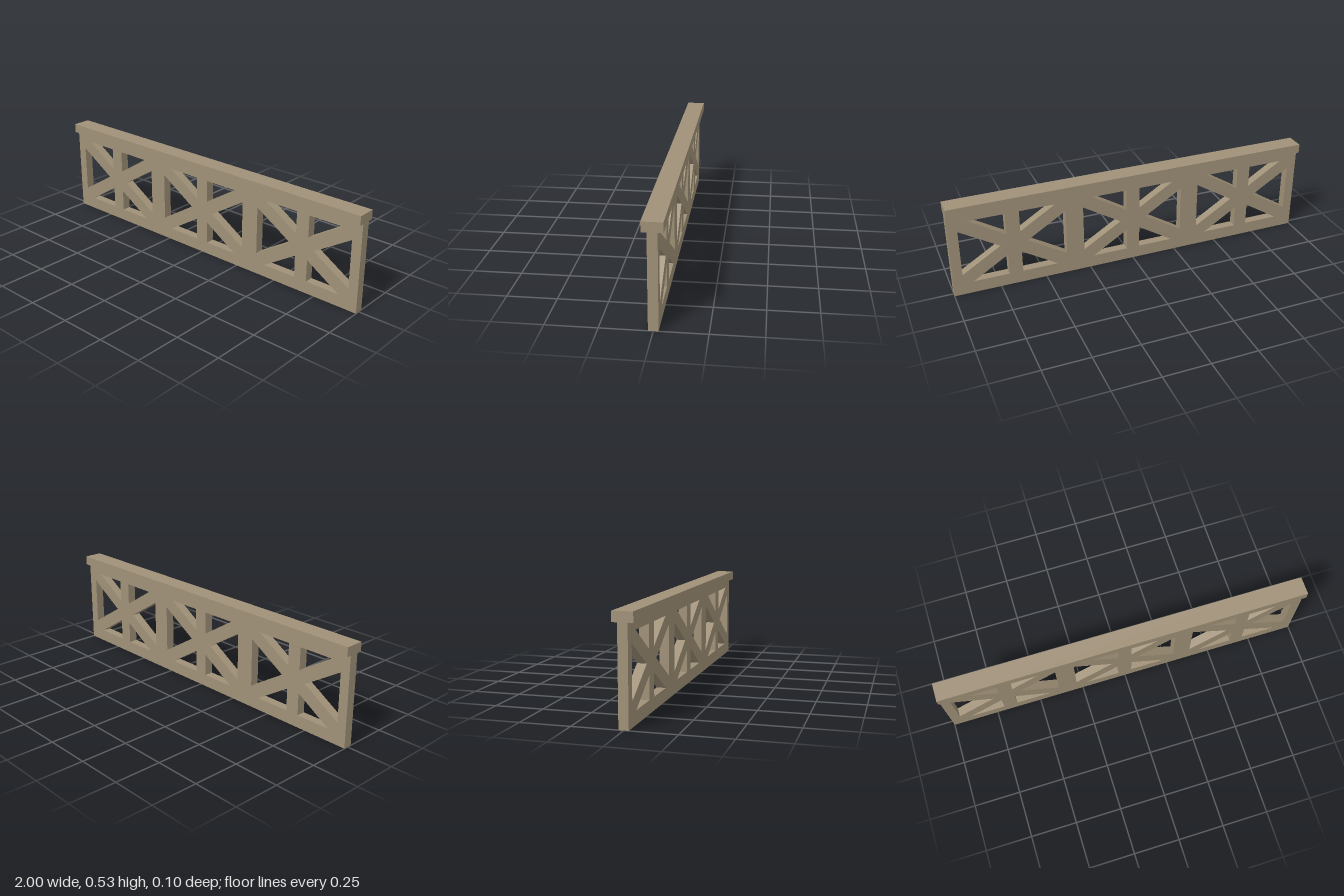
import * as THREE from 'three';

export function createModel() {
  const group = new THREE.Group();
  const stone = new THREE.MeshStandardMaterial({ color: 0xa09178 });
  stone.name = 'weathered tan';

  const railBottom = 0.477, top = 0.527, midY = 0.249, depth = 0.048;

  // Lattice panel outline
  const outline = new THREE.Shape([
    new THREE.Vector2(-1, 0), new THREE.Vector2(1, 0),
    new THREE.Vector2(1, railBottom), new THREE.Vector2(-1, railBottom),
  ]);

  // Triangular openings, as offsets from the centre of each bay
  const sideOpening = [[0.073, 0], [0.283, 0.13], [0.283, -0.13]];
  const cornerOpening = [[0.037, 0.062], [0.037, 0.182], [0.229, 0.182]];
  const cut = (cx, points, sx, sy) => outline.holes.push(new THREE.Path(
    points.map(([x, y]) => new THREE.Vector2(cx + sx * x, midY + sy * y))));

  for (const cx of [-0.666, 0, 0.664]) {
    for (const sx of [-1, 1]) {
      cut(cx, sideOpening, sx, 1);
      for (const sy of [-1, 1]) cut(cx, cornerOpening, sx, sy);
    }
  }

  const latticeGeometry = new THREE.ExtrudeGeometry(outline, { depth, bevelEnabled: false });
  latticeGeometry.translate(0, 0, -depth / 2);
  const lattice = new THREE.Mesh(latticeGeometry, stone);
  lattice.name = 'latticePanel';
  group.add(lattice);

  // Wider handrail along the top
  const rail = new THREE.Mesh(new THREE.BoxGeometry(2, top - railBottom, 0.1), stone);
  rail.name = 'topRail';
  rail.position.y = (top + railBottom) / 2;
  group.add(rail);

  return group;
}
